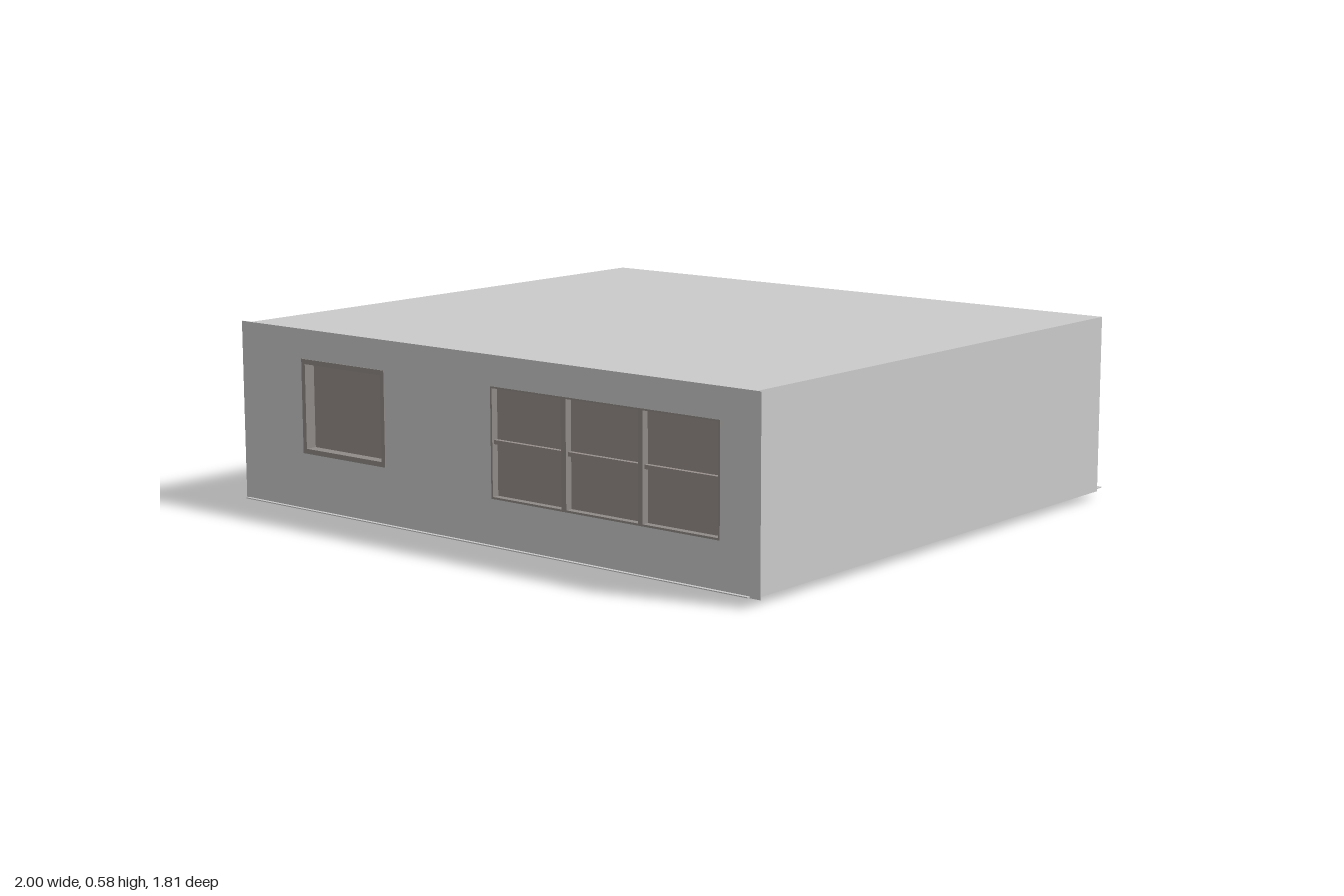
import * as THREE from 'three';

const mat = (name, color) => Object.assign(new THREE.MeshStandardMaterial({ color }), { name });

export function createModel() {
  const wall = mat('wall grey', 0xcbcbcb);
  const pane = mat('pane taupe', 0x978f8c);
  const frame = mat('frame grey', 0x908b88);
  const navy = mat('navy paint', 0x494e5c);
  const khaki = mat('khaki paint', 0xd2cdb0);
  const plum = mat('plum paint', 0x583652);

  const model = new THREE.Group();
  model.name = 'house';

  // Box given by its lower and upper corners
  function box(name, material, [x0, y0, z0], [x1, y1, z1], parent = model) {
    const mesh = new THREE.Mesh(new THREE.BoxGeometry(x1 - x0, y1 - y0, z1 - z0), material);
    mesh.position.set((x0 + x1) / 2, (y0 + y1) / 2, (z0 + z1) / 2);
    mesh.name = name;
    parent.add(mesh);
    return mesh;
  }

  // Upright panel with rectangular holes [u0, v0, u1, v1]
  function panel(name, material, [u0, v0, u1, v1], depth, holes = []) {
    const corners = ([a, b, c, d]) => [[a, b], [c, b], [c, d], [a, d]].map(p => new THREE.Vector2(...p));
    const shape = new THREE.Shape(corners([u0, v0, u1, v1]));
    holes.forEach(h => shape.holes.push(new THREE.Path(corners(h))));
    const mesh = new THREE.Mesh(
      new THREE.ExtrudeGeometry(shape, { depth, bevelEnabled: false }), material);
    mesh.name = name;
    model.add(mesh);
    return mesh;
  }

  // Floor sheet and roof
  box('floor', wall, [-0.99, 0.027, -0.912], [0.966, 0.03, 0.9]);
  box('roof', wall, [-0.976, 0.567, -0.867], [0.976, 0.575, 0.88]);

  // Right-hand plain wall
  box('plainSideWall', wall, [0.93, 0.024, -0.867], [0.976, 0.567, 0.88]);

  // Back wall with the door opening
  const door = [0.11, 0.03, 0.345, 0.485];
  panel('backWall', wall, [-0.976, 0.024, 0.93, 0.567], 0.045, [door]).position.z = -0.867;
  box('door', pane, [0.11, 0.03, -0.835], [0.345, 0.485, -0.825]);
  for (const x of [0.11, 0.337]) box('doorJamb', frame, [x, 0.03, -0.868], [x + 0.008, 0.485, -0.82]);
  box('doorHead', frame, [0.11, 0.475, -0.868], [0.345, 0.485, -0.82]);
  box('doorThreshold', frame, [0.11, 0.016, -0.83], [0.345, 0.03, -0.79]);

  // Front wall: outer sheet, painted lining and structural layer
  const small = [-0.735, 0.2, -0.385, 0.488];
  const large = [0.04, 0.165, 0.865, 0.488];
  const front = [small, large];
  panel('frontWall', wall, [-1, 0.025, 1, 0.578], 0.003, front).position.z = 0.886;
  panel('frontLining', plum, [-0.982, 0.045, 0.982, 0.56], 0.005, front).position.z = 0.881;
  panel('frontWallCore', wall, [-0.93, 0.03, 0.93, 0.567], 0.035, front).position.z = 0.845;

  // Small front window
  panel('smallWindowFrame', frame, small, 0.05, [[-0.72, 0.215, -0.4, 0.473]]).position.z = 0.842;
  box('smallWindowPane', pane, [-0.72, 0.215, 0.85], [-0.4, 0.473, 0.856]);

  // Large front window with three lights and a middle rail
  const lights = [[0.046, 0.306], [0.324, 0.584], [0.6, 0.859]];
  panel('largeWindowFrame', frame, large, 0.048,
    lights.map(([a, b]) => [a, 0.171, b, 0.483])).position.z = 0.842;
  for (const [a, b] of lights) {
    box('largeWindowPane', pane, [a, 0.171, 0.862], [b, 0.483, 0.868]);
    box('middleRail', pane, [a, 0.322, 0.868], [b, 0.334, 0.882]);
  }

  // Painted side wall in three colours, with a window in the middle one
  const side = [-0.22, 0.195, -0.05, 0.47];
  const sections = [
    ['navySideWall', navy, [-0.855, 0.034, -0.32, 0.567], []],
    ['khakiSideWall', khaki, [-0.32, 0.034, 0.055, 0.567], [side]],
    ['plumSideWall', plum, [0.055, 0.034, 0.881, 0.567], []],
  ];
  for (const [name, material, rect, holes] of sections) {
    const mesh = panel(name, material, rect, 0.036, holes);
    mesh.rotation.y = -Math.PI / 2;
    mesh.position.x = -0.939;
  }
  const sideFrame = panel('sideWindowFrame', frame, side, 0.05, [[-0.198, 0.217, -0.072, 0.448]]);
  sideFrame.rotation.y = -Math.PI / 2;
  sideFrame.position.x = -0.935;
  box('sideWindowPane', pane, [-0.945, 0.217, -0.198], [-0.939, 0.448, -0.072]);
  box('sideWallFoot', wall, [-0.976, 0.024, -0.867], [-0.935, 0.034, 0.881]);

  // Inner partitions, their feet just showing below the floor: [x0, z0, x1, z1]
  const t = 0.012;
  const partitions = [
    [-0.08, 0.05, -0.08, 0.84], [-0.42, 0.05, -0.08, 0.05], [-0.94, 0.05, -0.62, 0.05],
    [-0.94, -0.32, -0.08, -0.32], [-0.08, -0.83, -0.08, -0.32], [-0.42, -0.83, -0.42, -0.32],
    [0.39, -0.83, 0.39, -0.56],
  ];
  for (const [x0, z0, x1, z1] of partitions)
    box('partition', wall, [x0 - t / 2, 0.024, z0 - t / 2], [x1 + t / 2, 0.566, z1 + t / 2]);

  // Thresholds and jamb feet below the floor
  for (const x of [-0.89, -0.368])
    box('innerThreshold', frame, [x, 0, -0.34], [x + 0.223, 0.03, -0.305]);
  for (const x of [-0.62, -0.415])
    box('jambFoot', frame, [x - 0.013, 0.015, 0.035], [x + 0.013, 0.03, 0.068]);

  return model;
}
